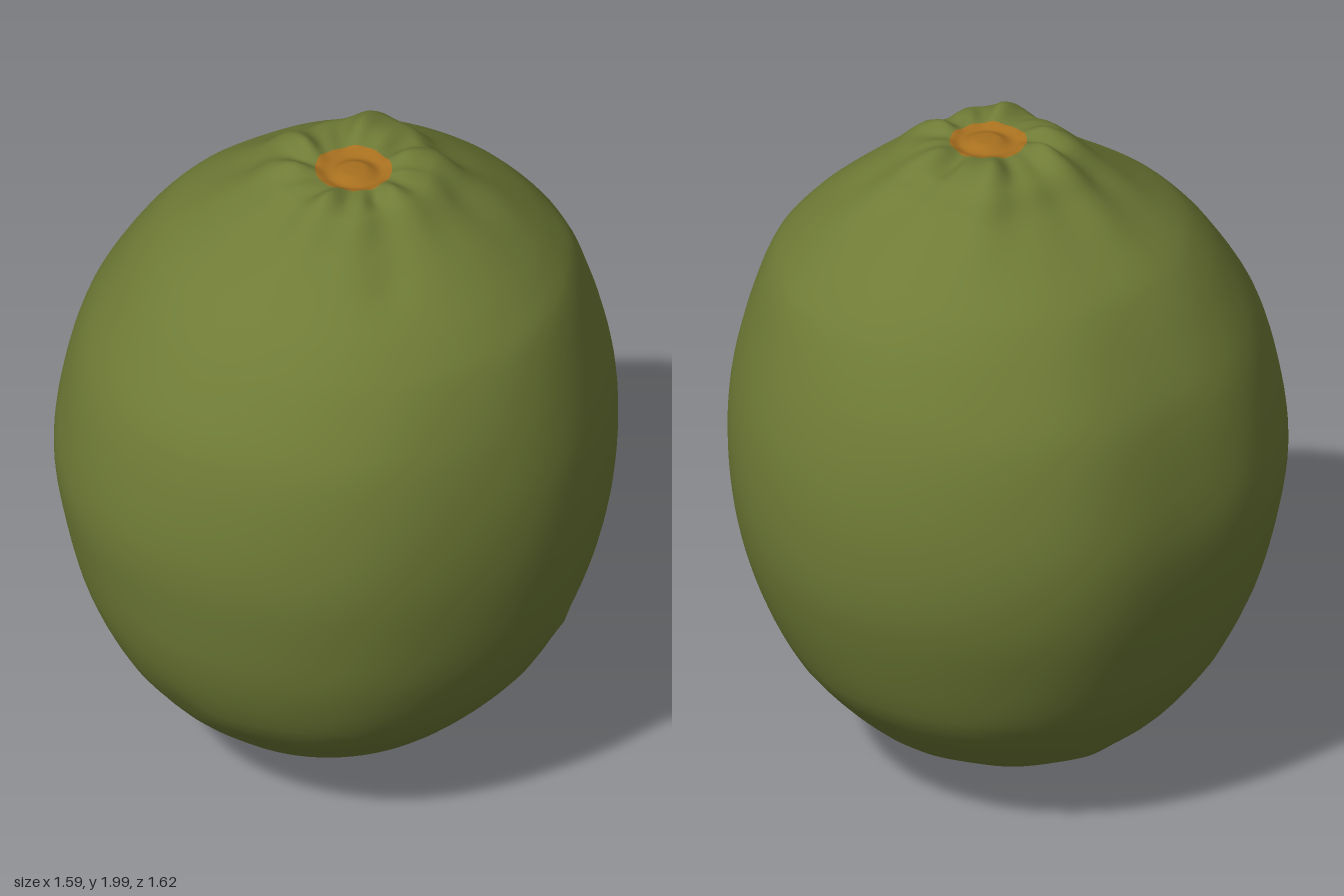
import * as THREE from 'three';

// Cross-sections from the bottom tip to the stem: y, centre x, centre z, radius x, radius z
const SECTIONS = [
  [0.0, 0.05, 0, 0.001, 0.001],
  [0.008, 0.05, 0, 0.022, 0.022],
  [0.05, 0.055, 0, 0.075, 0.07],
  [0.09, 0.025, 0, 0.17, 0.16],
  [0.125, -0.01, 0, 0.305, 0.32],
  [0.2, -0.01, 0.005, 0.445, 0.465],
  [0.4, 0, 0.01, 0.62, 0.65],
  [0.6, 0, 0.01, 0.716, 0.737],
  [0.8, 0, 0, 0.77, 0.788],
  [1.0, -0.003, 0, 0.795, 0.81],
  [1.2, 0.005, 0, 0.78, 0.795],
  [1.4, 0.012, 0, 0.73, 0.748],
  [1.6, 0.035, -0.005, 0.635, 0.635],
  [1.7, 0.037, -0.01, 0.55, 0.55],
  [1.8, 0.05, -0.01, 0.425, 0.42],
  [1.88, 0.05, 0, 0.315, 0.315],
  [1.95, 0.05, 0, 0.23, 0.245],
  [1.97, 0.05, 0.015, 0.16, 0.17],
  [1.962, 0.055, 0.025, 0.11, 0.105],
  [1.95, 0.06, 0.03, 0.075, 0.07],
  [1.965, 0.06, 0.03, 0.035, 0.035],
  [1.967, 0.06, 0.03, 0.001, 0.001],
];
const LAST = SECTIONS.length - 1;
const TIP_ROW = 1;
const STEM_ROW = 18;
const SEGMENTS = 112;
const STEPS = 5;

const centres = new THREE.CatmullRomCurve3(SECTIONS.map(([y, x, z]) => new THREE.Vector3(x, y, z)));
const radii = new THREE.CatmullRomCurve3(SECTIONS.map((s) => new THREE.Vector3(s[3], s[0], s[4])));

const bell = (d, width) => Math.exp(-((d / width) ** 2));

// Small lumps and dents in the skin: x, y, z, width, height
const LUMPS = [
  [0.7, 0.56, 0.15, 0.05, 0.012],
  [-0.3, 0.4, 0.57, 0.08, -0.012],
  [0.62, 1.6, -0.3, 0.09, 0.008],
  [-0.25, 0.2, -0.38, 0.07, 0.012],
  [0.2, 0.17, -0.32, 0.06, -0.012],
  [0.25, 1.8, 0.35, 0.06, -0.015],
];

function skinPoint(row, a) {
  const c = centres.getPoint(row / LAST);
  const r = radii.getPoint(row / LAST);

  // Slightly squared outline, flattened at two opposite corners
  const body = bell(row - 9.5, 5);
  const corners = 0.06 * bell(a - 3.93, 0.35) + 0.04 * bell(a - 0.785, 0.4);
  const outline = 1 + body * (0.02 * Math.sin(2 * a) ** 2 - corners);

  // Uneven folds gathered round the stem, puckers round the tip
  const folds = 0.5 * Math.sin(6 * a + 0.6 + 0.8 * Math.sin(2 * a) + row * 0.25)
    + 0.3 * Math.sin(11 * a + 2.1 + row * 0.7) + 0.25 * Math.sin(4 * a + 1.2);
  const shoulder = bell(row - 15.6, 1.4);
  const rim = bell(row - 16.9, 0.9);
  const gaps = bell(a - 1.4, 0.25) + bell(a - 0.25, 0.25);
  const tip = bell(row - 4.4, 1.1);
  const pucker = Math.sin(9 * a + row * 1.4) + Math.sin(5 * a + 2);
  const scale = outline * (1 + 0.07 * shoulder * folds + 0.018 * tip * pucker);

  const p = new THREE.Vector3(
    c.x + Math.max(r.x, 0.001) * scale * Math.cos(a),
    c.y + rim * (0.025 * folds - 0.02 * gaps) + 0.006 * tip * pucker,
    c.z + Math.max(r.z, 0.001) * scale * Math.sin(a),
  );
  const out = new THREE.Vector3(Math.cos(a), 0, Math.sin(a));
  for (const [x, y, z, width, height] of LUMPS) {
    p.addScaledVector(out, height * bell(Math.hypot(p.x - x, p.y - y, p.z - z), width));
  }
  p.y = Math.min(p.y, 2);
  return p;
}

// Smooth skin between two rows of the cross-section list
function skin(from, to) {
  const rows = (to - from) * STEPS;
  const positions = [];
  const index = [];
  for (let i = 0; i <= rows; i++) {
    for (let j = 0; j < SEGMENTS; j++) {
      positions.push(...skinPoint(from + i / STEPS, (j / SEGMENTS) * Math.PI * 2));
    }
  }
  for (let i = 0; i < rows; i++) {
    for (let j = 0; j < SEGMENTS; j++) {
      const k = (j + 1) % SEGMENTS;
      const a = i * SEGMENTS + j;
      const b = i * SEGMENTS + k;
      index.push(a, a + SEGMENTS, b, b, a + SEGMENTS, b + SEGMENTS);
    }
  }
  const geometry = new THREE.BufferGeometry();
  geometry.setAttribute('position', new THREE.Float32BufferAttribute(positions, 3));
  geometry.setIndex(index);
  geometry.computeVertexNormals();
  return geometry;
}

export function createModel() {
  const green = new THREE.MeshStandardMaterial({ color: 0x6f7b36 });
  green.name = 'olive green';
  const orange = new THREE.MeshStandardMaterial({ color: 0xa8701f });
  orange.name = 'stem orange';

  const model = new THREE.Group();
  model.name = 'lime';
  const parts = [
    ['blossomTip', skin(0, TIP_ROW), orange],
    ['peel', skin(TIP_ROW, STEM_ROW), green],
    ['stemScar', skin(STEM_ROW, LAST), orange],
  ];
  for (const [name, geometry, material] of parts) {
    const mesh = new THREE.Mesh(geometry, material);
    mesh.name = name;
    model.add(mesh);
  }
  return model;
}
